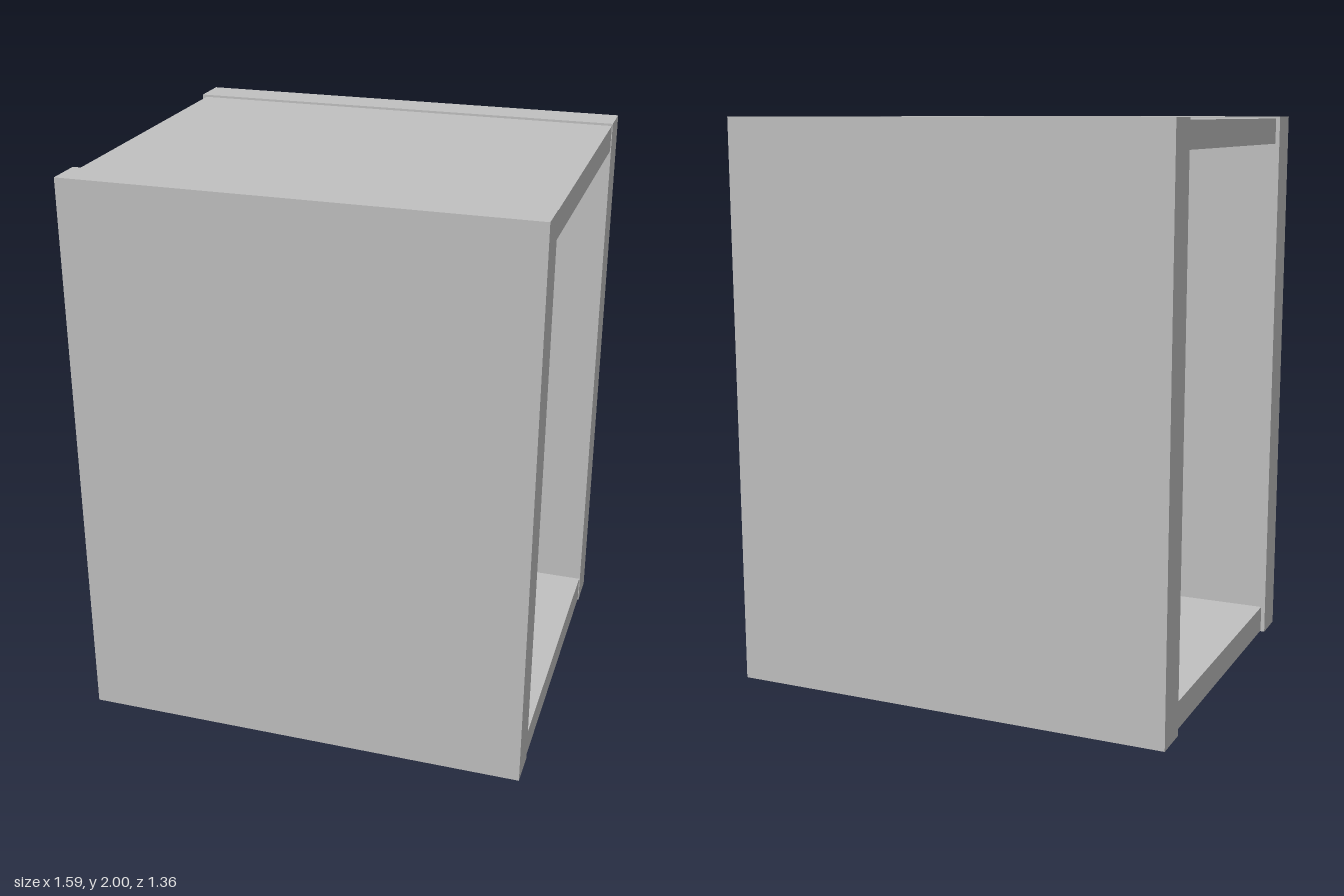
import * as THREE from 'three';

export function createModel() {
  const model = new THREE.Group();
  model.name = 'louvredCabinet';
  const grey = new THREE.MeshStandardMaterial({ color: 0xc0c0c0 });
  grey.name = 'grey';

  // Box given by its lower and upper corners
  const box = (name, [x0, y0, z0], [x1, y1, z1]) => {
    const mesh = new THREE.Mesh(new THREE.BoxGeometry(x1 - x0, y1 - y0, z1 - z0), grey);
    mesh.position.set((x0 + x1) / 2, (y0 + y1) / 2, (z0 + z1) / 2);
    mesh.name = name;
    model.add(mesh);
  };

  // Outer case, open on both sides
  box('frontPanel', [-0.795, 0, 0.55], [0.795, 2, 0.68]);
  box('backPanel', [-0.795, 0, -0.68], [0.795, 2, -0.545]);
  box('topPanel', [-0.78, 1.9, -0.545], [0.792, 1.992, 0.55]);
  box('bottomPanel', [-0.78, 0.003, -0.545], [0.792, 0.1, 0.55]);

  // Upright posts carrying the slats
  box('frontPost', [-0.09, 0.1, 0.4], [-0.03, 1.9, 0.49]);
  box('backPost', [-0.09, 0.1, -0.46], [-0.03, 1.9, -0.38]);

  // Slats sloping down towards the left side; profile origin is the outer upper edge
  const profile = new THREE.Shape([
    new THREE.Vector2(0, 0),
    new THREE.Vector2(-0.38, 0.12),
    new THREE.Vector2(-0.406, 0.04),
    new THREE.Vector2(-0.026, -0.08),
  ]);
  const slat = new THREE.ExtrudeGeometry(profile, { depth: 0.83, bevelEnabled: false });
  [0.2, 0.54, 0.89, 1.24, 1.6].forEach((y, i) => {
    const mesh = new THREE.Mesh(slat, grey);
    mesh.position.set(0.363, y, -0.402);
    mesh.name = `slat${i + 1}`;
    model.add(mesh);
  });

  return model;
}
